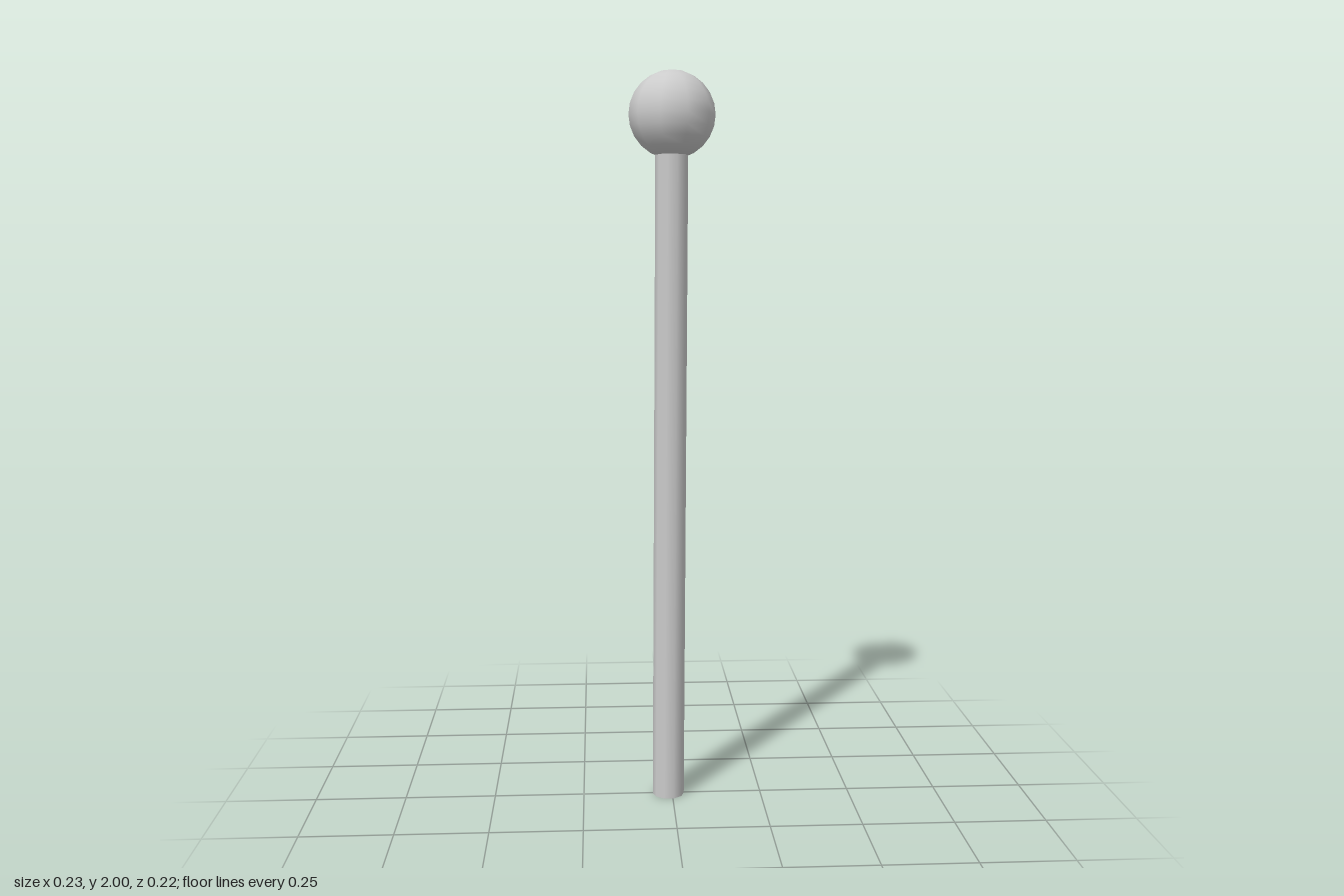
import * as THREE from 'three';

export function createModel() {
  const group = new THREE.Group();
  const material = new THREE.MeshStandardMaterial({ color: 0xcccccc });

  // Ten-sided ball, smooth shaded
  const ballRadius = 0.116;
  const ball = new THREE.Mesh(new THREE.SphereGeometry(ballRadius, 10, 12), material);
  ball.name = 'ball';
  ball.position.y = 2 - ballRadius;
  group.add(ball);

  // Slim stick, leaning very slightly, its top sunk into the ball
  const bottom = new THREE.Vector3(-0.011, 0, 0.004);
  const top = new THREE.Vector3(-0.001, 1.8, 0.004);
  const axis = top.clone().sub(bottom);
  const geometry = new THREE.CylinderGeometry(0.044, 0.044, axis.length(), 10);
  geometry.rotateY(Math.PI / 2); // corners on the x axis
  const stick = new THREE.Mesh(geometry, material);
  stick.name = 'stick';
  stick.position.copy(bottom).add(top).multiplyScalar(0.5);
  stick.quaternion.setFromUnitVectors(new THREE.Vector3(0, 1, 0), axis.normalize());
  group.add(stick);

  return group;
}
